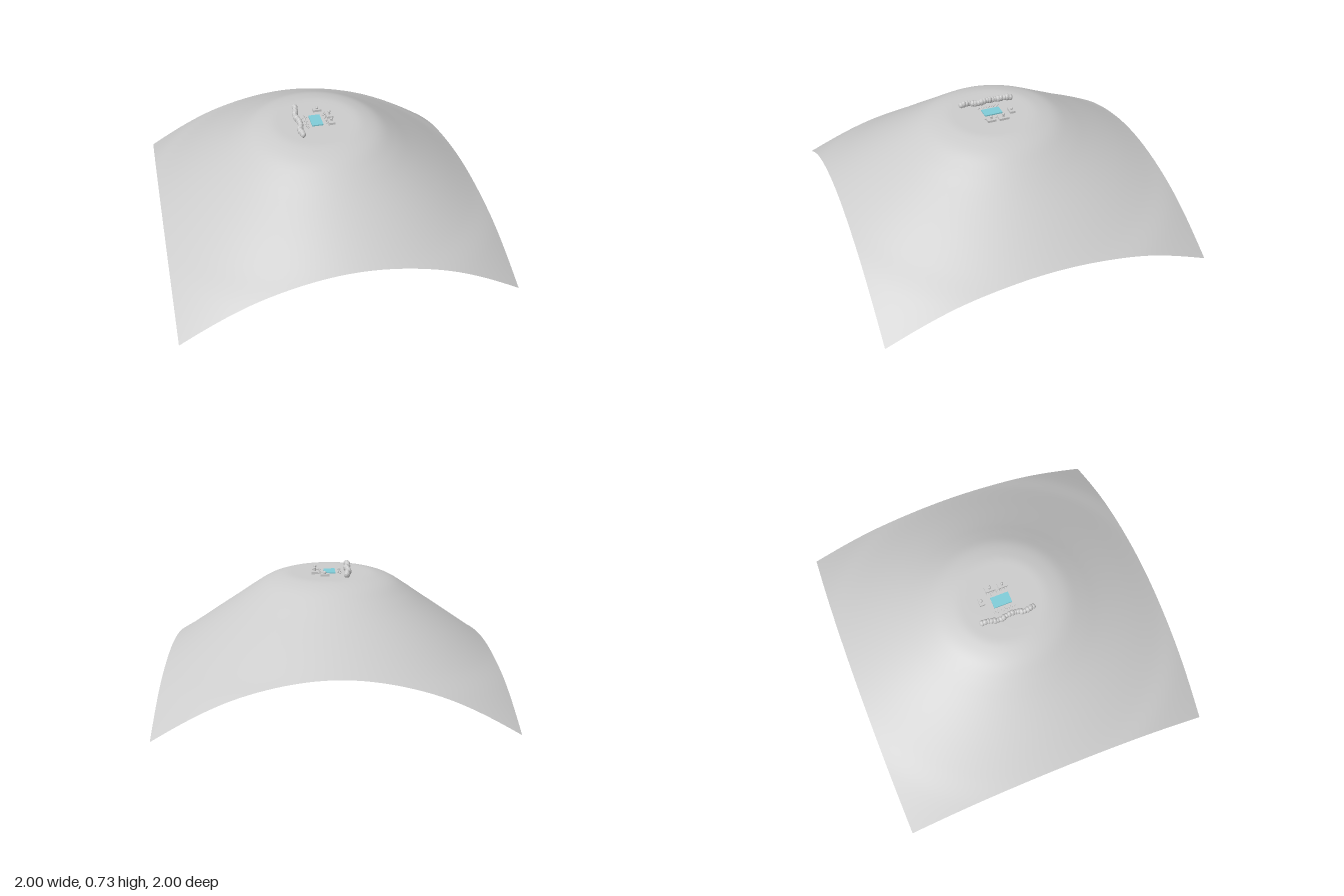
import * as THREE from 'three';

const TOP = 0.688;
const grey = new THREE.MeshStandardMaterial({ color: 0xcccccc });
const greyFlat = new THREE.MeshStandardMaterial({ color: 0xcccccc, flatShading: true });
const greySheet = new THREE.MeshStandardMaterial({ color: 0xcccccc, side: THREE.DoubleSide });
const blue = new THREE.MeshStandardMaterial({ color: 0x7fccd8 });

// Radius from the summit and share of the fall reached there
const FALL = [[0, 0], [0.24, 0], [0.3, 0.015], [0.4, 0.09], [0.5, 0.23], [0.6, 0.385],
  [0.8, 0.69], [1, 1], [1.17, 1.25], [1.4143, 1.688]];

// Smooth (Hermite) interpolation through FALL
function fall(r) {
  const n = FALL.length;
  let i = 0;
  while (i < n - 2 && r > FALL[i + 1][0]) i++;
  const slope = (k) => {
    const a = FALL[Math.max(k - 1, 0)], b = FALL[Math.min(k + 1, n - 1)];
    return (b[1] - a[1]) / (b[0] - a[0]);
  };
  const [x0, y0] = FALL[i], [x1, y1] = FALL[i + 1];
  const w = x1 - x0, t = Math.min((r - x0) / w, 1);
  const m0 = i <= 1 ? 0 : slope(i), m1 = i === 0 ? 0 : slope(i + 1);
  return (1 + 2 * t) * (1 - t) ** 2 * y0 + t * (1 - t) ** 2 * w * m0
    + t * t * (3 - 2 * t) * y1 + t * t * (t - 1) * w * m1;
}

// The hill falls faster along x than along z
function height(x, z) {
  const r2 = x * x + z * z;
  if (r2 < 1e-6) return TOP;
  const steepness = (0.46 * x * x + 0.355 * z * z) / r2;
  return Math.max(0, TOP - steepness * fall(Math.sqrt(r2)));
}

function add(parent, name, geometry, material, x, y, z) {
  const mesh = new THREE.Mesh(geometry, material);
  mesh.name = name;
  mesh.position.set(x, y, z);
  parent.add(mesh);
  return mesh;
}

function group(parent, name) {
  const g = new THREE.Group();
  g.name = name;
  parent.add(g);
  return g;
}

// Open terrain sheet
function buildHill(parent) {
  const geo = new THREE.PlaneGeometry(2, 2, 80, 80).rotateX(-Math.PI / 2);
  const p = geo.attributes.position;
  for (let i = 0; i < p.count; i++) p.setY(i, height(p.getX(i), p.getZ(i)));
  geo.computeVertexNormals();
  add(parent, 'hill', geo, greySheet, 0, 0, 0);
}

// Winding row of boulders
function buildBoulders(parent) {
  const row = group(parent, 'boulderRow');
  const path = new THREE.CatmullRomCurve3([[-0.1, -0.165], [-0.105, -0.12], [-0.118, -0.06],
    [-0.108, 0], [-0.106, 0.05], [-0.122, 0.1], [-0.113, 0.158]]
    .map(([x, z]) => new THREE.Vector3(x, TOP, z)));
  const stone = new THREE.IcosahedronGeometry(1, 1);
  const count = 18;
  for (let i = 0; i < count; i++) {
    const p = path.getPointAt(i / (count - 1));
    const s = 0.019 + 0.002 * Math.sin(i * 2.1);
    const m = add(row, 'boulder', stone, greyFlat, p.x, TOP + 0.017 + 0.004 * Math.sin(i * 0.9), p.z);
    m.scale.set(s, s * 1.1, s * 0.85);
    m.rotation.y = i * 1.7;
  }
}

// Plinth with a small post and cap
function buildStand(parent, x, z, w, d, h) {
  const stand = group(parent, 'stand');
  stand.position.set(x, TOP, z);
  add(stand, 'plinth', new THREE.BoxGeometry(w, 0.014, d), grey, 0, 0.007, 0);
  add(stand, 'post', new THREE.CylinderGeometry(0.006, 0.008, h - 0.01, 10), grey, 0, (h + 0.01) / 2, 0);
  add(stand, 'cap', new THREE.SphereGeometry(0.009, 10, 8), grey, 0, h - 0.006, 0);
}

// Loose pebbles beside the long sides of the pool
function buildPebbles(parent) {
  const pebbles = group(parent, 'pebbles');
  const geo = new THREE.IcosahedronGeometry(0.005, 0);
  for (const side of [-1, 1]) {
    for (let i = 0; i < 13; i++) {
      add(pebbles, 'pebble', geo, greyFlat, side * 0.064 + 0.006 * Math.sin(i * 2.3),
        TOP + 0.004, -0.072 + i * 0.0115);
    }
  }
  for (const x of [-0.05, 0.05]) add(pebbles, 'pebble', geo, greyFlat, x, TOP + 0.004, -0.05);
}

export function createModel() {
  const model = new THREE.Group();
  model.name = 'hilltopPool';
  buildHill(model);
  add(model, 'pool', new THREE.BoxGeometry(0.07, 0.008, 0.115), blue, 0, TOP + 0.004, -0.003);
  buildBoulders(model);
  buildStand(model, 0.033, -0.119, 0.055, 0.034, 0.027);
  buildStand(model, 0.093, -0.042, 0.04, 0.062, 0.038);
  buildStand(model, 0.089, 0.036, 0.04, 0.054, 0.034);
  buildPebbles(model);
  return model;
}
